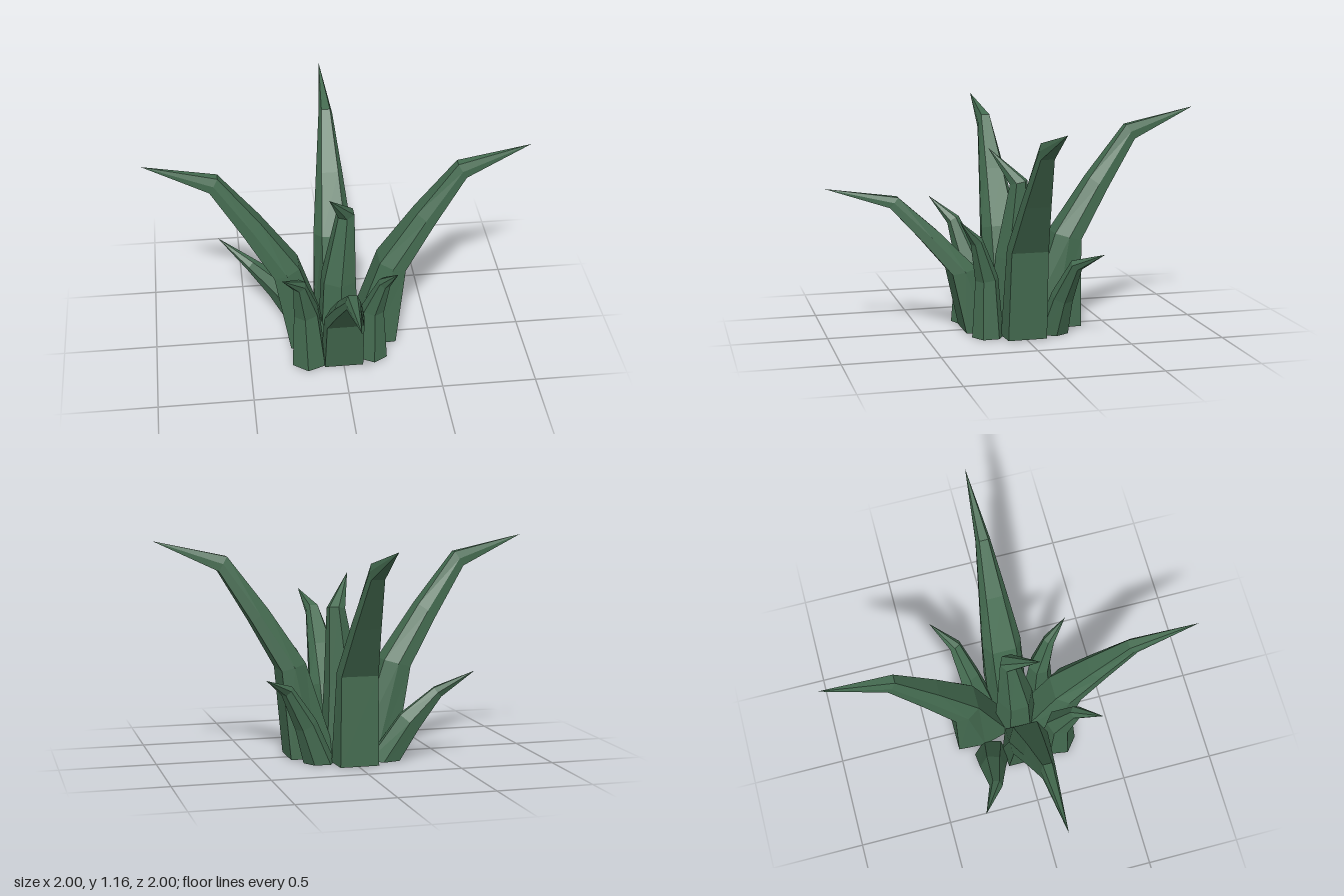
import * as THREE from 'three';

const V = (x, y, z) => new THREE.Vector3(x, y, z);

// Six-sided cross-sections as [across, outward]
const BLADE = [[1, 0], [0.92, 1], [-0.92, 1], [-1, 0], [-0.62, -1], [0.62, -1]];
const HEX = [[1, 0], [0.5, 0.87], [-0.5, 0.87], [-1, 0], [-0.5, -0.87], [0.5, -0.87]];

// Skin rings { c: centre, a: outward half axis, b: sideways half axis } and close them in a point
function loft(section, rings, tip) {
  const pts = rings.map(({ c, a, b }) =>
    section.map(([u, v]) => c.clone().addScaledVector(b, u).addScaledVector(a, v)));
  const pos = [];
  const tri = (...ps) => ps.forEach((p) => pos.push(p.x, p.y, p.z));
  const n = section.length;
  const last = pts[pts.length - 1];
  for (let i = 0; i < n; i++) {
    const j = (i + 1) % n;
    for (let k = 0; k < pts.length - 1; k++) {
      tri(pts[k][i], pts[k][j], pts[k + 1][j]);
      tri(pts[k][i], pts[k + 1][j], pts[k + 1][i]);
    }
    tri(last[i], last[j], tip);
    tri(rings[0].c, pts[0][j], pts[0][i]);
  }
  const geo = new THREE.BufferGeometry();
  geo.setAttribute('position', new THREE.Float32BufferAttribute(pos, 3));
  geo.computeVertexNormals();
  return geo;
}

// Large leaf reaching along +x; each ring runs from an inner to an outer point
function largeLeaf(baseOuter, heightScale) {
  const s = heightScale;
  const rings = [
    // inner x, y, outer x, y, half width
    [0.05, 0.015, baseOuter, 0.015, 0.112],
    [0.215, 0.52 * s, 0.35, 0.485 * s, 0.106],
    [0.41, 0.81 * s, 0.50, 0.745 * s, 0.073],
    [0.62, 1.085 * s, 0.665, 1.01 * s, 0.038],
  ].map(([ix, iy, ox, oy, w]) => ({
    c: V((ix + ox) / 2, (iy + oy) / 2, 0),
    a: V((ox - ix) / 2, (oy - iy) / 2, 0),
    b: V(0, 0, w),
  }));
  return loft(BLADE, rings, V(1, 1.17 * s, 0));
}

// Small leaf following a bent path of [x, y, z, radius], ending in a tip
function smallLeaf(path, tip) {
  const centres = path.map(([x, y, z]) => V(x, y, z));
  const d = tip.clone().sub(centres[0]).setY(0).normalize();
  const side = V(-d.z, 0, d.x);
  const rings = path.map(([, , , r], i) => {
    const next = centres[i + 1] || tip;
    const t = i === 0 ? V(0, 1, 0) : next.clone().sub(centres[i - 1]).normalize();
    const a = t.clone().cross(side).normalize();
    const b = a.clone().cross(t).normalize();
    return { c: centres[i], a: a.multiplyScalar(r), b: b.multiplyScalar(r) };
  });
  return loft(HEX, rings, tip);
}

export function createModel() {
  const group = new THREE.Group();
  const leafGreen = new THREE.MeshStandardMaterial({ color: 0x446b50, flatShading: true });
  leafGreen.name = 'leafGreen';

  const add = (name, geo, turn = 0) => {
    const mesh = new THREE.Mesh(geo, leafGreen);
    mesh.name = name;
    mesh.rotation.y = turn;
    group.add(mesh);
  };

  // Four large arching leaves, the front one shorter
  add('largeLeafLeft', largeLeaf(0.305, 1));
  add('largeLeafBack', largeLeaf(0.35, 1), Math.PI / 2);
  add('largeLeafRight', largeLeaf(0.27, 1), Math.PI);
  add('largeLeafFront', largeLeaf(0.28, 0.685), -Math.PI / 2);

  // Upright centre leaf
  add('centreLeaf', smallLeaf([
    [0.0, 0.01, 0.0, 0.12], [0.0, 0.4, 0.0, 0.1], [0.04, 0.8, -0.02, 0.05],
  ], V(-0.06, 0.975, 0.12)));

  // Four small leaves filling the corners
  add('smallLeafBackRight', smallLeaf([
    [-0.18, 0.01, -0.18, 0.095], [-0.31, 0.21, -0.205, 0.07], [-0.46, 0.365, -0.225, 0.035],
  ], V(-0.63, 0.485, -0.32)));
  add('smallLeafBackLeft', smallLeaf([
    [0.17, 0.01, -0.17, 0.085], [0.25, 0.22, -0.2, 0.06], [0.36, 0.41, -0.245, 0.035],
  ], V(0.49, 0.485, -0.355)));
  add('smallLeafFrontRight', smallLeaf([
    [-0.18, 0.01, 0.2, 0.1], [-0.195, 0.34, 0.2, 0.072], [-0.235, 0.565, 0.275, 0.036],
  ], V(-0.33, 0.685, 0.39)));
  add('smallLeafFrontLeft', smallLeaf([
    [0.165, 0.01, 0.18, 0.085], [0.165, 0.32, 0.185, 0.062], [0.215, 0.53, 0.25, 0.034],
  ], V(0.27, 0.65, 0.35)));

  return group;
}
